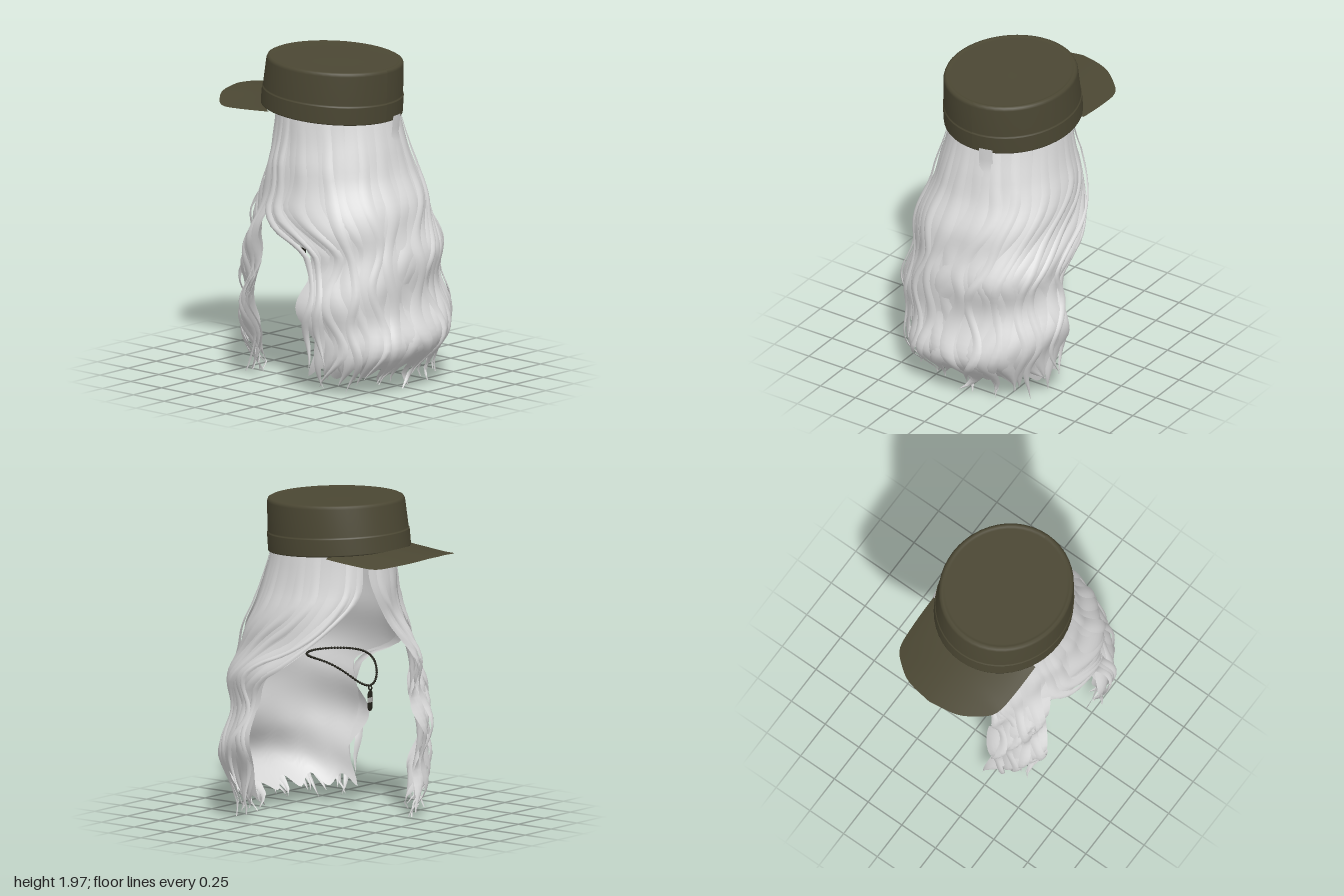
import * as THREE from 'three';
import { mergeGeometries } from 'three/addons/utils/BufferGeometryUtils.js';

const D = THREE.DoubleSide;
const paint = (name, color) => {
  const m = new THREE.MeshStandardMaterial({ color, side: D });
  m.name = name;
  return m;
};

// Smooth open surface from a rule (u, v in 0..1) -> [x, y, z]
function grid(nu, nv, rule) {
  const pos = [], idx = [];
  for (let j = 0; j <= nv; j++)
    for (let i = 0; i <= nu; i++) {
      pos.push(...rule(i / nu, j / nv));
      if (i < nu && j < nv) {
        const a = j * (nu + 1) + i, b = a + nu + 1;
        idx.push(a, b, a + 1, a + 1, b, b + 1);
      }
    }
  const g = new THREE.BufferGeometry();
  g.setAttribute('position', new THREE.Float32BufferAttribute(pos, 3));
  g.setIndex(idx);
  g.computeVertexNormals();
  return g;
}

let seed = 7;
const rnd = (a = 0, b = 1) => {
  seed = (seed * 16807) % 2147483647;
  return a + (b - a) * (seed / 2147483647);
};
const { lerp, clamp, smoothstep, degToRad } = THREE.MathUtils;
const spow = (v, p) => Math.sign(v) * Math.abs(v) ** p;

// Hair outline every 0.2 from y = 1.7 down: half width, back z, front z
const outline = new THREE.CatmullRomCurve3([
  [0.36, 0.405, -0.34], [0.37, 0.435, -0.33], [0.405, 0.475, -0.32],
  [0.45, 0.56, -0.38], [0.48, 0.62, -0.43], [0.51, 0.615, -0.44],
  [0.53, 0.655, -0.46], [0.5, 0.68, -0.45], [0.44, 0.53, -0.4],
].map((p) => new THREE.Vector3(...p)), false, 'catmullrom');

// Hair regions: angles (degrees) at the cap and at the tips, and the heights between which they sweep
const BACK = { top: [-66, 205], tip: [12, 166], sweep: [[1.5, 0.8], [1.15, 0.85]], wave: 0.02 };
const LOCK = { top: [205, 285], tip: [211, 247], sweep: [[1.2, 0.8], [1.6, 1.0]], wave: 0.032 };

// Point on a hair region: s across it, y height, lift outward
function hairPoint(r, s, y, lift, phase, sway) {
  const y0 = lerp(r.sweep[0][0], r.sweep[1][0], s), y1 = lerp(r.sweep[0][1], r.sweep[1][1], s);
  const k = 1 - smoothstep(y, y1, y0);
  const ramp = clamp((1.5 - y) / 0.6, 0, 1);
  const a = degToRad(lerp(lerp(...r.top, s), lerp(...r.tip, s), k))
    + sway * ramp * Math.sin(y * 11.5 + phase);
  const o = outline.getPoint(clamp((1.7 - y) / 1.6, 0, 1));
  const push = lift + r.wave * ramp * Math.sin(y * 14.5 + 6 * s);
  const square = lerp(1, 0.82, clamp((1.6 - y) / 0.6, 0, 1));
  const c = Math.cos(a), n = Math.sin(a);
  return [
    -0.02 + o.x * spow(c, square) + push * c, y,
    (o.y + o.z) / 2 + ((o.y - o.z) / 2) * spow(n, square) + push * n,
  ];
}

// Broad, nearly flat ribbon of hair with a curled, pointed tip
function strand(r, s, half, o = {}) {
  const { yTop = 1.69, yEnd = rnd(0.02, 0.12), lift = rnd(0.01, 0.026), topLift = 0 } = o;
  const phase = rnd(0, 6.28), sway = rnd(0.03, 0.085), curl = rnd(-0.03, 0.04);
  return grid(4, 40, (u, t) => {
    const j = u * 2 - 1, y = lerp(yTop, yEnd, t);
    const tip = Math.max(0, (t - 0.85) / 0.15);
    const w = half * (Math.min(1, 0.7 + t) * (1 - tip ** 1.3));
    const hook = half * 1.2 * tip * tip * Math.sign(curl);
    const out = lift * Math.min(1, t * 5) + topLift * (1 - Math.min(1, t * 12))
      + 0.008 * (1 - j * j) * Math.min(1, t * 4) + curl * tip;
    return hairPoint(r, s + j * w + hook, y, out, phase, sway);
  });
}

// Continuous under-layer with a ragged hem
const underLayer = (r, cols, hem) => grid(cols, 40, (s, t) =>
  hairPoint(r, s, lerp(1.7, hem + 0.035 * Math.sin(s * cols * 0.6), t), 0, 6 * s, 0.025));

export function createModel() {
  seed = 7;
  const model = new THREE.Group();
  const olive = paint('olive cloth', 0x4b4733);
  const hairMat = paint('pale hair', 0xdadada);
  const black = paint('black cord', 0x23221a);
  const silver = paint('silver', 0xa8a8a4);
  const add = (name, geo, mat, parent = model) => {
    const m = new THREE.Mesh(geo, mat);
    m.name = name;
    parent.add(m);
    return m;
  };

  // Cap crown: lathed profile with a lining, made oval, tilted and leaned back
  const crown = new THREE.LatheGeometry([
    [0, 0.14], [0.93, 0.14], [0.955, 0.13], [0.96, 0.02], [0.985, 0], [1.012, 0.01],
    [1.014, 0.03], [1.012, 0.34], [1.012, 0.35], [1.0, 0.365], [1.0, 0.38], [0.98, 0.93],
    [0.965, 0.98], [0.935, 1], [0.91, 0.985], [0.88, 0.98], [0, 0.985],
  ].map((p) => new THREE.Vector2(...p)), 48);
  const p = crown.attributes.position;
  for (let i = 0; i < p.count; i++) {
    const h = p.getY(i), z = p.getZ(i) * 0.435 + lerp(-0.005, 0.025, h);
    p.setXYZ(i, -0.03 + p.getX(i) * 0.402, lerp(1.667 - 0.07 * z, 1.98 - 0.036 * z, h), z);
  }
  crown.computeVertexNormals();
  add('capCrown', crown, olive);

  // Cap brim: upper and lower skins meeting at the rim, sides drooping
  const rim = new THREE.SplineCurve([
    [0, -0.76], [0.173, -0.727], [0.286, -0.653], [0.358, -0.565], [0.376, -0.4], [0.378, -0.2],
  ].map((q) => new THREE.Vector2(...q)));
  const brimSkin = (drop) => grid(40, 6, (u, v) => {
    const side = u * 2 - 1, q = side * 1.08, edge = rim.getPoint(Math.abs(side));
    const x = lerp(0.39 * Math.sin(q), edge.x * Math.sign(side), v);
    const z = lerp(-0.42 * Math.cos(q), edge.y, v);
    const droop = 0.026 + 0.03 * clamp((-z - 0.2) / 0.35, 0, 1);
    return [x - 0.03, 1.708 - droop * (x / 0.38) ** 2 - 0.01 * v - drop * (1 - v), z];
  });
  add('brimTop', brimSkin(0), olive);
  add('brimUnderside', brimSkin(0.022), olive);

  // Hair under-layers
  const hair = new THREE.Group();
  hair.name = 'hair';
  model.add(hair);
  add('backHair', underLayer(BACK, 70, 0.15), hairMat, hair);
  add('sideLock', underLayer(LOCK, 20, 0.17), hairMat, hair);
  add('innerScalp', grid(32, 6, (u, v) => {
    const a = degToRad(lerp(-15, 195, u)), n = Math.sin(a);
    return [-0.02 + 0.33 * Math.cos(a), lerp(1.7, 1.52 - 0.17 * n, v), 0.02 + 0.35 * n];
  }), hairMat, hair);

  // Overlapping broad strands, then narrower ones and edge wisps
  const strands = [];
  for (let i = 0; i < 19; i++)
    strands.push(strand(BACK, lerp(0.03, 0.97, i / 18), rnd(0.03, 0.045),
      { yEnd: rnd(0.012, 0.09) + 0.08 * Math.abs(i / 9 - 1) }));
  for (let i = 0; i < 11; i++)
    strands.push(strand(BACK, (i + rnd(0.2, 0.8)) / 11, rnd(0.018, 0.028), { lift: rnd(0.028, 0.045) }));
  for (let i = 0; i < 6; i++)
    strands.push(strand(LOCK, lerp(0.08, 0.92, i / 5), rnd(0.12, 0.17), { yEnd: rnd(0.06, 0.13) }));
  for (let i = 0; i < 4; i++)
    strands.push(strand(LOCK, (i + 0.5) / 4, rnd(0.06, 0.09), { lift: rnd(0.03, 0.05) }));
  for (const s of [0.01, 0.05, 0.95, 0.99])
    strands.push(strand(BACK, s, 0.014, { lift: rnd(0.03, 0.06), yEnd: rnd(0.12, 0.25) }));
  // Strand poking out over the back of the cap
  strands.push(strand(BACK, 0.53, 0.032, { yTop: 1.67, topLift: 0.04 }));
  add('hairStrands', mergeGeometries(strands), hairMat, hair);

  // Necklace: beaded cord dipping to the pendant
  const loop = [];
  for (let i = 0; i < 28; i++) {
    const a = (i / 28) * Math.PI * 2, f = (1 - Math.cos(a)) / 2;
    loop.push(new THREE.Vector3(0.2 * Math.sin(a), 1.025 - 0.165 * f ** 4.5, -0.045 + 0.215 * Math.cos(a)));
  }
  const cord = new THREE.CatmullRomCurve3(loop, true);
  const beads = [new THREE.TubeGeometry(cord, 80, 0.005, 5, true)];
  for (const q of cord.getSpacedPoints(75).slice(1))
    beads.push(new THREE.SphereGeometry(0.008, 6, 4).translate(q.x, q.y, q.z));
  add('necklaceCord', mergeGeometries(beads), black);

  // Pendant: ring and flat tag with a pale band
  const pendant = new THREE.Group();
  pendant.name = 'pendant';
  pendant.position.set(0, 0.845, -0.262);
  model.add(pendant);
  add('pendantRing', new THREE.TorusGeometry(0.012, 0.005, 6, 12), black, pendant).rotation.y = Math.PI / 2;
  const tag = new THREE.CapsuleGeometry(0.024, 0.08, 4, 10).scale(1, 1, 0.2);
  add('pendantTag', tag, black, pendant).position.y = -0.078;
  const band = new THREE.CylinderGeometry(0.0255, 0.0255, 0.03, 12).scale(1, 1, 0.24);
  add('pendantBand', band, silver, pendant).position.y = -0.073;

  return model;
}
